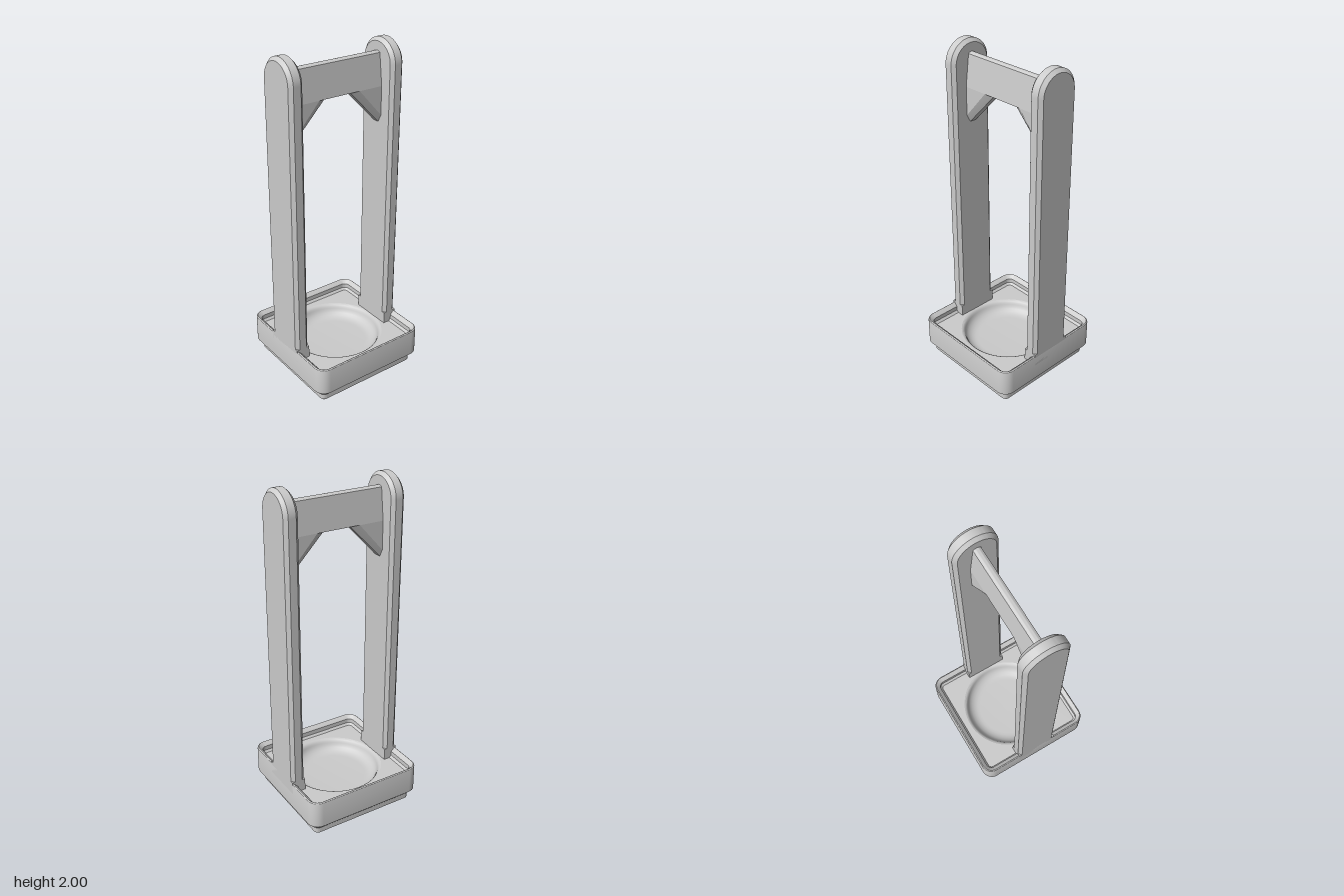
import * as THREE from 'three';
import { toCreasedNormals } from 'three/addons/utils/BufferGeometryUtils.js';
import { ConvexGeometry } from 'three/addons/geometries/ConvexGeometry.js';

const HALF = 0.375, CORNER = 0.068, FLOOR = 0.19;
const POST_IN = 0.289, POST_W = 0.132, CHAMFER = 0.02;
const material = new THREE.MeshStandardMaterial({ color: 0xcccccc });

function part(name, geometry, parent) {
  const mesh = new THREE.Mesh(toCreasedNormals(geometry, 0.5), material);
  mesh.name = name;
  parent.add(mesh);
  return mesh;
}

// Rounded square outline; the corner radius shrinks with the inset
function ring(half) {
  const r = Math.max(CORNER - (HALF - half), 0.008), c = half - r, n = 8, pts = [];
  [[1, 1], [-1, 1], [-1, -1], [1, -1]].forEach(([sx, sy], q) => {
    for (let k = 0; k <= n; k++) {
      const a = (q + k / n) * Math.PI / 2;
      pts.push(new THREE.Vector2(sx * c + r * Math.cos(a), sy * c + r * Math.sin(a)));
    }
  });
  return pts;
}

// Skin through rounded squares given as [half width, height]
function loft(levels) {
  const pos = [], idx = [];
  let n = 0;
  levels.forEach(([half, y]) => {
    const pts = ring(half);
    n = pts.length;
    pts.forEach(p => pos.push(p.x, y, -p.y));
  });
  for (let l = 0; l < levels.length - 1; l++) {
    for (let i = 0; i < n; i++) {
      const a = l * n + i, b = l * n + (i + 1) % n;
      idx.push(a, b, b + n, a, b + n, a + n);
    }
  }
  const g = new THREE.BufferGeometry();
  g.setAttribute('position', new THREE.Float32BufferAttribute(pos, 3));
  g.setIndex(idx);
  return g;
}

// Flat rounded plate with round holes [x, y, radius]
function plate(half, holes) {
  const s = new THREE.Shape(ring(half));
  holes.forEach(([x, y, r]) => s.holes.push(new THREE.Path().absarc(x, y, r, 0, Math.PI * 2, true)));
  return new THREE.ShapeGeometry(s, 32);
}

const lathe = pts => new THREE.LatheGeometry(pts.map(p => new THREE.Vector2(...p)), 64);

function buildBase(parent) {
  const base = new THREE.Group();
  base.name = 'base';
  parent.add(base);

  // Stepped foot, outer wall and stacking lip
  part('wallAndLip', loft([
    [0.321, 0], [0.336, 0.014], [0.336, 0.047], [HALF, 0.086], [HALF, 0.243],
    [0.373, 0.25], [0.367, 0.255], [0.361, 0.251], [0.342, 0.232], [0.342, 0.204], [0.329, FLOOR],
  ]), base);

  // Tray floor with a round dish
  const R = 0.293;
  part('trayFloor', plate(0.329, [[0, 0, R]]).rotateX(-Math.PI / 2).translate(0, FLOOR, 0), base);
  part('dish', lathe([
    [R, 0], [0.286, -0.002], [0.279, -0.007], [0.273, -0.015], [0.269, -0.025], [0.264, -0.037],
    [0.255, -0.05], [0.242, -0.061], [0.225, -0.07], [0.207, -0.074], [0.19, -0.075], [0, -0.075],
  ]).translate(0, FLOOR, 0), base);

  // Underside with four blind holes
  const holes = [[1, 1], [-1, 1], [-1, -1], [1, -1]].map(([x, y]) => [x * 0.234, y * 0.234, 0.058]);
  part('underside', plate(0.321, holes).rotateX(Math.PI / 2), base);
  holes.forEach(([x, z, r]) =>
    part('footHole', lathe([[0, 0.043], [r, 0.043], [r, 0]]).translate(x, 0, z), base));
}

function buildPost(side, parent) {
  const post = new THREE.Group();
  post.name = side > 0 ? 'leftPost' : 'rightPost';
  parent.add(post);
  const width = HALF - POST_IN, x = side * (HALF + POST_IN) / 2;

  // Chamfered upright with a round top
  const r = POST_W - CHAMFER, s = new THREE.Shape();
  s.moveTo(-r, 0.22);
  s.lineTo(r, 0.22);
  s.absarc(0, 2 - POST_W, r, 0, Math.PI, false);
  s.closePath();
  const depth = width - 2 * CHAMFER;
  const upright = new THREE.ExtrudeGeometry(s, {
    depth, bevelEnabled: true, bevelSegments: 1, bevelSize: CHAMFER, bevelThickness: CHAMFER, curveSegments: 20,
  });
  part('upright', upright.translate(0, 0, -depth / 2).rotateY(Math.PI / 2).translate(x, 0, 0), post);

  // Square block through the lip
  const y0 = FLOOR - 0.005, y1 = 0.265;
  part('postBlock', new THREE.BoxGeometry(width, y1 - y0, POST_W * 2).translate(x, (y0 + y1) / 2, 0), post);

  // Sloping brace under the handle with a bevelled lower edge
  const pts = [];
  [[0.022, 1.52, 0.08], [0.045, 1.565, 0.135]].forEach(([z, low, inner]) => [-z, z].forEach(d => pts.push(
    new THREE.Vector3(side * POST_IN, low, d),
    new THREE.Vector3(side * POST_IN, 1.735, d),
    new THREE.Vector3(side * inner, 1.735, d))));
  part('brace', new ConvexGeometry(pts), post);
}

export function createModel() {
  const model = new THREE.Group();
  model.name = 'carryTray';
  buildBase(model);
  [1, -1].forEach(side => buildPost(side, model));

  // Handle bar, narrower and slightly rounded at the top
  const s = new THREE.Shape();
  s.moveTo(-0.045, 1.735);
  s.lineTo(0.045, 1.735);
  s.lineTo(0.022, 1.92);
  s.quadraticCurveTo(0, 1.938, -0.022, 1.92);
  s.closePath();
  const bar = new THREE.ExtrudeGeometry(s, { depth: POST_IN * 2, bevelEnabled: false, curveSegments: 8 });
  part('handle', bar.translate(0, 0, -POST_IN).rotateY(Math.PI / 2), model);
  return model;
}
